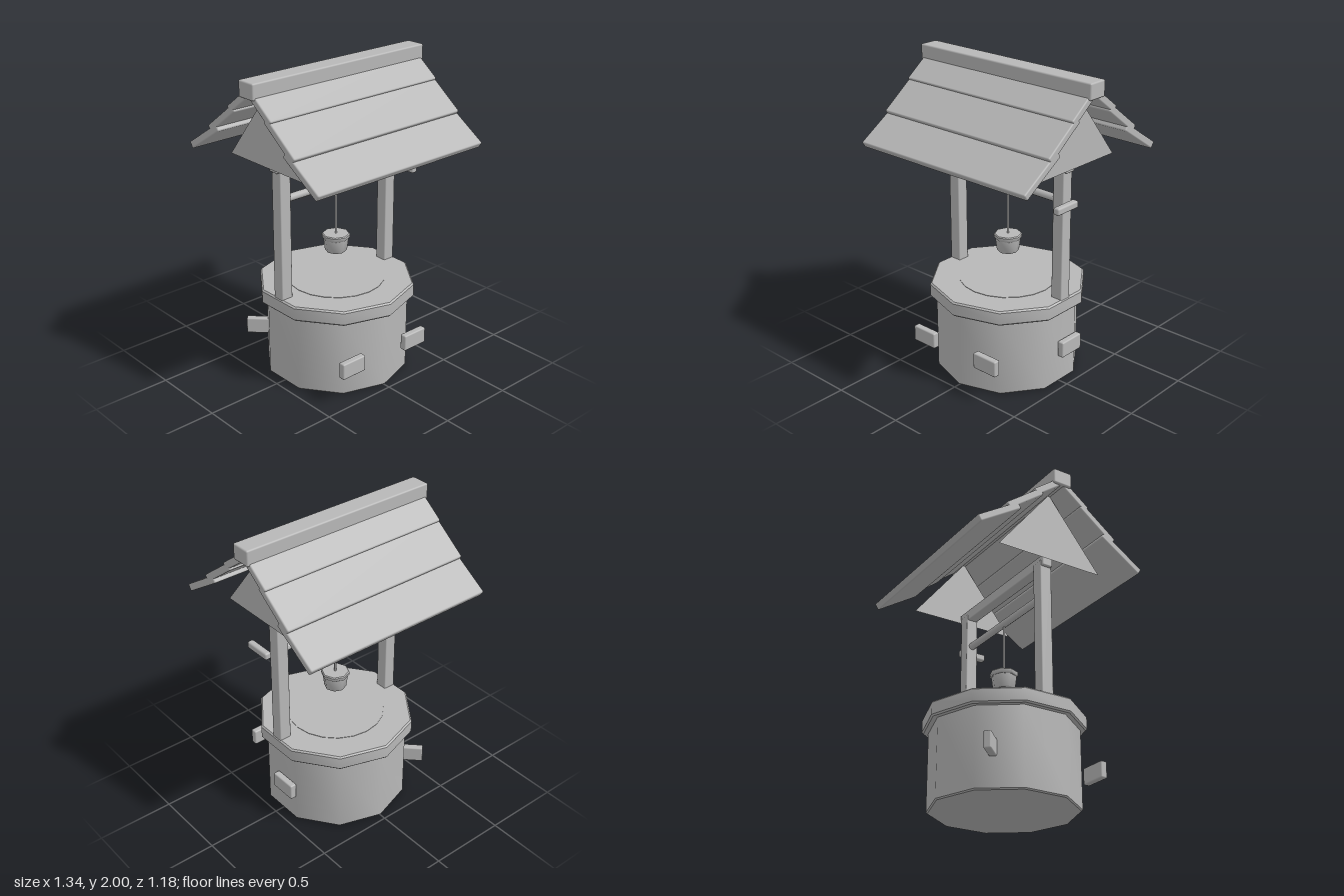
import * as THREE from 'three';
import { toCreasedNormals } from 'three/addons/utils/BufferGeometryUtils.js';
import { RoundedBoxGeometry } from 'three/addons/geometries/RoundedBoxGeometry.js';

export function createModel() {
  const well = new THREE.Group();
  well.name = 'wishingWell';

  const clay = new THREE.MeshStandardMaterial({ color: 0xb8b8b8 });
  clay.name = 'plainGrey';
  const sheet = new THREE.MeshStandardMaterial({ color: 0xb8b8b8, side: THREE.DoubleSide });
  sheet.name = 'plainGreySheet';

  const add = (name, geometry, x, y, z, material = clay) => {
    const mesh = new THREE.Mesh(geometry, material);
    mesh.name = name;
    mesh.position.set(x, y, z);
    well.add(mesh);
    return mesh;
  };
  // Box with softened edges
  const box = (w, h, d, r = 0.007) => new RoundedBoxGeometry(w, h, d, 2, r);
  // Solid of revolution with chamfered edges: smooth round the side, sharp at the caps
  const drum = (rBottom, rTop, h, sides, c) => {
    const profile = [
      [0, 0], [rBottom - c, 0], [rBottom, c], [rTop, h - c], [rTop - c, h], [0, h],
    ].map(([x, y]) => new THREE.Vector2(x, y));
    return toCreasedNormals(new THREE.LatheGeometry(profile, sides), sides < 10 ? 0.8 : 0.7);
  };

  // Stone base, rim and water
  add('wellWall', drum(0.46, 0.46, 0.51, 10, 0.008), 0, 0, 0);
  add('wellRim', drum(0.5, 0.5, 0.095, 10, 0.01), 0, 0.5, 0);
  add('water', new THREE.CylinderGeometry(0.31, 0.31, 0.006, 20), 0, 0.595, 0);

  // Loose stones set into the wall: x, z, yaw
  const stones = [
    [-0.28, 0.463, 0], [0.24, 0.463, 0], [0.463, -0.06, Math.PI / 2], [-0.365, -0.32, -Math.PI / 4],
  ];
  for (const [x, z, yaw] of stones) {
    add('wallStone', box(0.18, 0.105, 0.045, 0.009), x, 0.245, z).rotation.y = yaw;
  }

  // Frame
  for (const s of [-1, 1]) add('post', box(0.08, 0.88, 0.08), s * 0.43, 1.02, 0);
  add('crossBeam', box(0.98, 0.07, 0.07), 0, 1.455, 0);

  // Winch with crank, rope and bucket
  add('axle', new THREE.CylinderGeometry(0.024, 0.024, 0.8, 10), 0, 1.232, 0).rotation.z = Math.PI / 2;
  add('crankHandle', box(0.044, 0.046, 0.185, 0.012), 0.52, 1.232, 0.075);
  add('rope', new THREE.CylinderGeometry(0.007, 0.007, 0.34, 8), 0, 1.05, 0);
  add('bucket', drum(0.07, 0.081, 0.1, 8, 0.006), 0, 0.775, 0);
  add('bucketRim', drum(0.088, 0.09, 0.032, 8, 0.006), 0, 0.861, 0);

  // Roof planks, overlapping, mirrored front to back: z, y, length, slope in degrees
  const planks = [[0.445, 1.565, 0.33, 33], [0.265, 1.72, 0.3, 37], [0.1, 1.86, 0.22, 37]];
  for (const [z, y, length, slope] of planks) {
    for (const s of [-1, 1]) {
      const plank = add('roofPlank', box(1.31, 0.045, length, 0.009), 0, y, s * z);
      plank.rotation.x = s * THREE.MathUtils.degToRad(slope);
    }
  }
  add('ridgeBeam', box(1.34, 0.1, 0.13, 0.01), 0, 1.95, 0);

  // Triangular gable sheets
  const triangle = new THREE.Shape([
    new THREE.Vector2(-0.365, 1.45), new THREE.Vector2(0.365, 1.45), new THREE.Vector2(0, 1.91),
  ]);
  for (const s of [-1, 1]) {
    add('gable', new THREE.ShapeGeometry(triangle), s * 0.515, 0, 0, sheet).rotation.y = s * Math.PI / 2;
  }

  return well;
}
